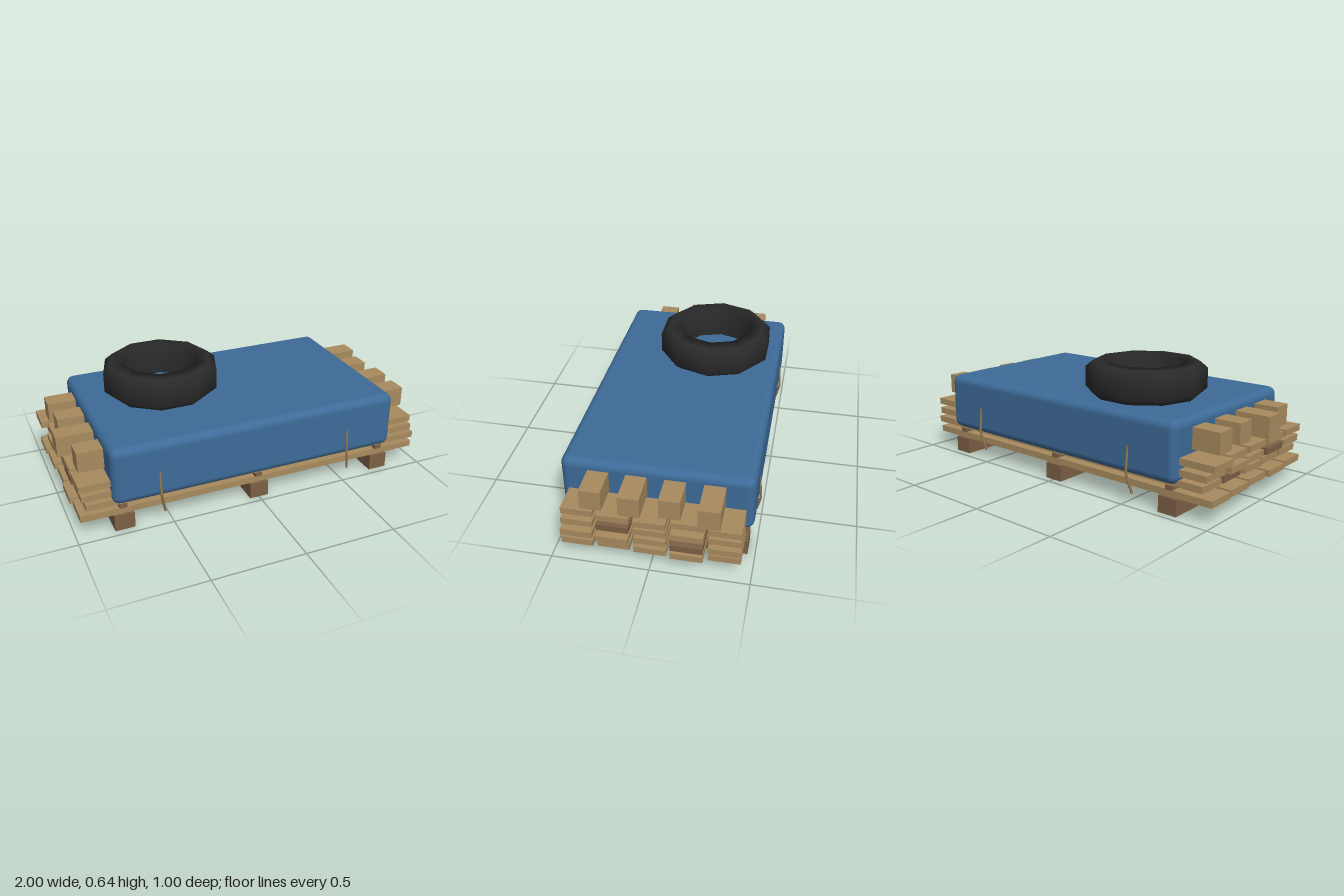
import * as THREE from 'three';
import { RoundedBoxGeometry } from 'three/addons/geometries/RoundedBoxGeometry.js';

const mat = (name, color, side = THREE.FrontSide) => {
  const m = new THREE.MeshStandardMaterial({ color, side });
  m.name = name;
  return m;
};

export function createModel() {
  const model = new THREE.Group();
  model.name = 'lumberStack';
  const paleWood = mat('pale wood', 0xa88b5f);
  const darkWood = mat('dark wood', 0x7c6045);
  const tarpBlue = mat('tarp blue', 0x3d6b98);
  const rubber = mat('rubber black', 0x2a2a2a);
  const ropeTan = mat('rope tan', 0x947a50);

  const add = (name, geometry, material, parent = model) => {
    const mesh = new THREE.Mesh(geometry, material);
    mesh.name = name;
    parent.add(mesh);
    return mesh;
  };
  // Box given by its extents on each axis
  const box = (name, x0, x1, y0, y1, z0, z1, material, parent) =>
    add(name, new THREE.BoxGeometry(x1 - x0, y1 - y0, z1 - z0), material, parent)
      .position.set((x0 + x1) / 2, (y0 + y1) / 2, (z0 + z1) / 2);

  // Ground bearers, with thin spacers above the first layer
  for (const x of [-0.75, 0, 0.75]) {
    box('bearer', x - 0.053, x + 0.053, 0, 0.087, -0.462, 0.462, darkWood);
    box('spacer', x - 0.02, x + 0.02, 0.122, 0.145, -0.452, 0.452, darkWood);
  }

  // Four layers of planks with uneven ends
  let seed = 7;
  const random = () => (seed = (seed * 16807) % 2147483647) / 2147483647;
  const layers = [
    { y: 0.087, left: -0.99, right: 0.995 },
    { y: 0.145, left: -0.955, right: 1.0 },
    { y: 0.2, left: -0.98, right: 0.995 },
    { y: 0.257, left: -0.975, right: 0.985 },
  ];
  layers.forEach(({ y, left, right }, layer) => {
    const group = new THREE.Group();
    group.name = 'plankLayer';
    model.add(group);
    for (let i = -2; i <= 2; i++) {
      const z = i * 0.183;
      const dark = (layer === 1 && i === -1) || (layer === 2 && i === 1);
      const x0 = layer === 3 && i === -2 ? -1 : left + random() * 0.025;
      box('plank', x0, right - random() * 0.035, y, y + 0.035, z - 0.08, z + 0.08,
        dark ? darkWood : paleWood, group);
    }
  });

  // Square beams on top
  const beams = [
    [0.29, -0.94, 0.955], [0.098, -1, 0.97], [-0.096, -0.95, 0.95], [-0.291, -0.96, 0.985],
  ];
  for (const [z, x0, x1] of beams) box('beam', x0, x1, 0.31, 0.42, z - 0.053, z + 0.053, paleWood);

  // Tarp
  add('tarp', new RoundedBoxGeometry(1.606, 0.313, 0.97, 3, 0.042), tarpBlue).position.set(-0.002, 0.313, 0);

  // Ten-sided tyre lying on the tarp
  const profile = [
    [0.205, 0.0], [0.28, 0.0], [0.321, 0.035], [0.321, 0.142],
    [0.28, 0.177], [0.205, 0.177], [0.205, 0.0],
  ].map(([r, y]) => new THREE.Vector2(r, y));
  add('tyre', new THREE.LatheGeometry(profile, 10, Math.PI / 2), rubber).position.set(-0.348, 0.468, -0.107);

  // Loose rope ends hanging down both long sides
  for (const [x, side] of [[-0.56, 1], [0.515, 1], [-0.523, -1], [0.55, -1]]) {
    const path = new THREE.CurvePath();
    const points = [[0, 0.303, 0.481], [0, 0.165, 0.494], [0.022, 0.066, 0.474]]
      .map(([dx, y, z]) => new THREE.Vector3(x + dx * side, y, z * side));
    path.add(new THREE.LineCurve3(points[0], points[1]));
    path.add(new THREE.LineCurve3(points[1], points[2]));
    add('rope', new THREE.TubeGeometry(path, 8, 0.007, 6), ropeTan);
    for (const p of [points[0], points[2]]) {
      add('ropeEnd', new THREE.SphereGeometry(0.007, 6, 4), ropeTan).position.copy(p);
    }
  }
  return model;
}
